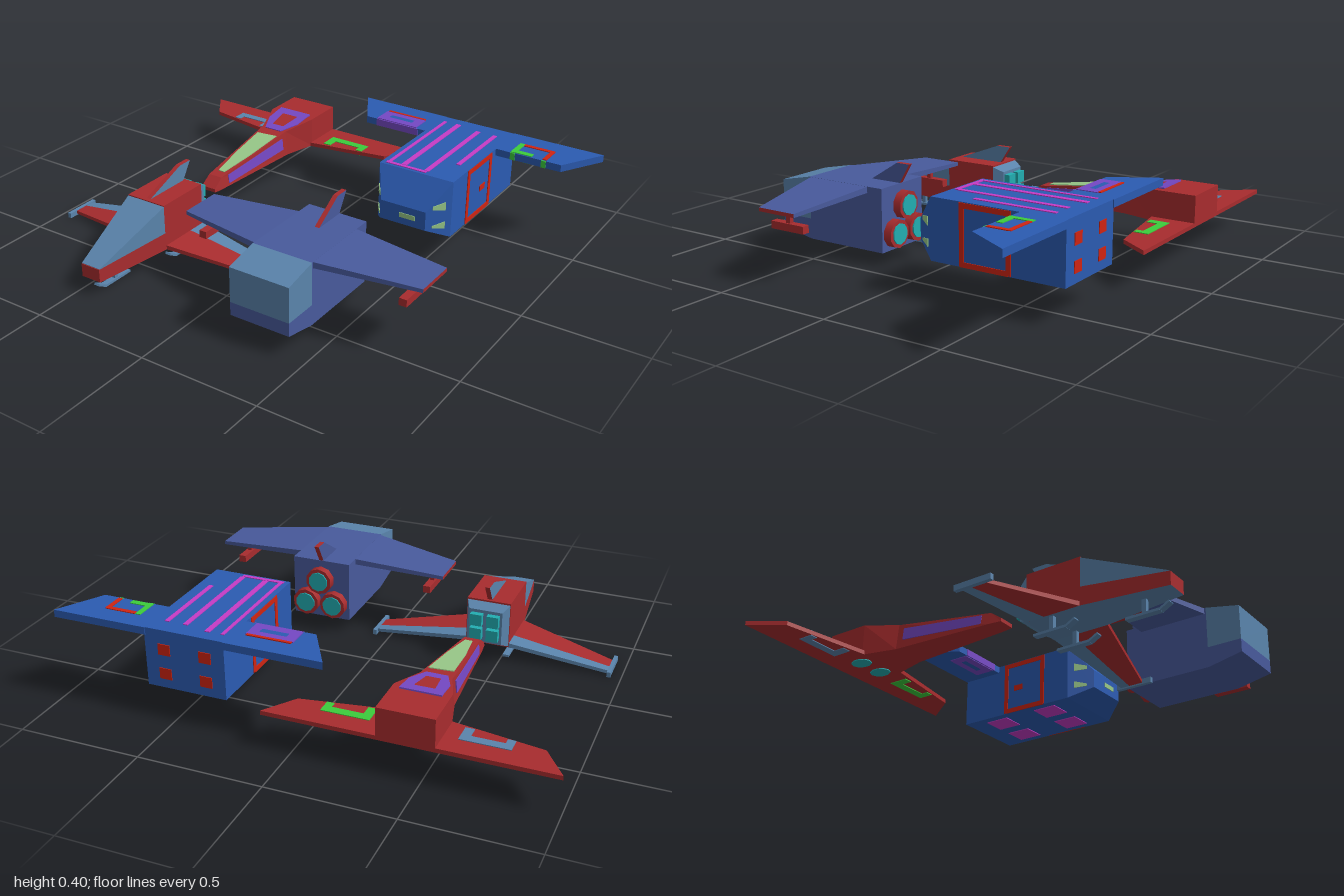
import * as THREE from 'three';

const M = {};
for (const [name, hex] of Object.entries({
  crimson: 0xa82c2e, steelBlue: 0x5a84ac, royalBlue: 0x2b5bb2, slateBlue: 0x485a9c, cyan: 0x22aeb2,
  violet: 0x7548c4, magenta: 0xc63cc6, green: 0x3ccc3c, paleGreen: 0x98c888, scarlet: 0xd02412,
})) {
  M[name] = new THREE.MeshStandardMaterial({ color: hex });
  M[name].name = name;
}

function add(parent, name, geo, mat, x = 0, y = 0, z = 0) {
  const m = new THREE.Mesh(geo, mat);
  m.name = name;
  m.position.set(x, y, z);
  parent.add(m);
  return m;
}
const box = (p, name, mat, size, pos) => add(p, name, new THREE.BoxGeometry(...size), mat, ...pos);

// Flat-faced solid through matching rings; mats: one material, or one per side then start and end cap
function loft(parent, name, rings, mats) {
  const n = rings[0].length, list = Array.isArray(mats) ? mats : Array(n + 2).fill(mats);
  const faces = [];
  for (let i = 0; i + 1 < rings.length; i++)
    for (let j = 0; j < n; j++) {
      const k = (j + 1) % n, a = rings[i], b = rings[i + 1];
      faces.push([list[j], [a[j], a[k], b[k], b[j]]]);
    }
  faces.push([list[n], [...rings[0]].reverse()], [list[n + 1], rings[rings.length - 1]]);
  // make the faces point outwards
  const v = (p) => new THREE.Vector3(...p);
  let volume = 0;
  for (const [, f] of faces)
    for (let t = 1; t + 1 < f.length; t++) volume += v(f[0]).dot(v(f[t]).cross(v(f[t + 1])));
  const used = [...new Set(list)], pos = [], geo = new THREE.BufferGeometry();
  for (const mat of used) {
    const start = pos.length / 3;
    for (const [fm, f] of faces) {
      if (fm !== mat) continue;
      const q = volume < 0 ? [...f].reverse() : f;
      for (let t = 1; t + 1 < q.length; t++) pos.push(...q[0], ...q[t], ...q[t + 1]);
    }
    geo.addGroup(start, pos.length / 3 - start, used.indexOf(mat));
  }
  geo.setAttribute('position', new THREE.Float32BufferAttribute(pos, 3));
  geo.computeVertexNormals();
  return add(parent, name, geo, used);
}
// Hull section: bottom half width, bottom, top half width, top
const sec = (z, hb, yb, ht, yt) => [[-hb, yb, z], [hb, yb, z], [ht, yt, z], [-ht, yt, z]];

// Thin painted patch lying on a four-cornered face
function patch(parent, name, quad, mat) {
  const p = quad.map((c) => new THREE.Vector3(...c));
  const n = p[1].clone().sub(p[0]).cross(p[2].clone().sub(p[0])).normalize().multiplyScalar(0.003);
  loft(parent, name, [p.map((c) => c.clone().add(n).toArray()), p.map((c) => c.clone().sub(n).toArray())], mat);
}
// Horizontal plate from an [x, z] outline
function slab(parent, name, pts, y0, y1, mat, hole) {
  const toV = (a) => a.map(([x, z]) => new THREE.Vector2(x, -z));
  const shape = new THREE.Shape(toV(pts));
  if (hole) shape.holes.push(new THREE.Path(toV(hole)));
  const geo = new THREE.ExtrudeGeometry(shape, { depth: y1 - y0, bevelEnabled: false });
  geo.rotateX(-Math.PI / 2);
  return add(parent, name, geo, mat, 0, y0, 0);
}
// Tail fin from a [z, y] outline, with coloured sides and crimson edges
function fin(parent, pts, side) {
  loft(parent, 'tailFin', [-0.01, 0.01].map((x) => pts.map(([z, y]) => [x, y, z])),
    [...pts.map(() => M.crimson), side, side]);
}
function ship(root, name, x) {
  const g = new THREE.Group();
  g.name = name;
  g.position.x = x;
  root.add(g);
  return g;
}

function wedgeGlider(root) {
  const g = ship(root, 'redGlider', -0.44);
  loft(g, 'hull', [sec(-0.775, 0.11, 0.14, 0.11, 0.27), sec(-0.595, 0.11, 0.14, 0.11, 0.27),
    sec(-0.45, 0.073, 0.14, 0.062, 0.25), sec(-0.01, 0.042, 0.14, 0.033, 0.19),
    sec(0.04, 0.036, 0.14, 0.034, 0.155)], M.crimson);
  for (const s of [-1, 1]) {
    slab(g, 'wing', [[s * 0.1, -0.775], [s * 0.555, -0.775], [s * 0.465, -0.645], [s * 0.1, -0.585]], 0.14, 0.157, M.crimson);
    // hooked wing markings above and below
    const c = s < 0 ? M.steelBlue : M.green;
    for (const y of [0.157, 0.14]) {
      box(g, 'wingMarkBar', c, [0.19, 0.006, 0.035], [s * 0.26, y, -0.675]);
      box(g, 'wingMarkInner', c, [0.035, 0.006, 0.06], [s * 0.183, y, -0.64]);
      box(g, 'wingMarkOuter', c, [0.03, 0.006, 0.04], [s * 0.34, y, -0.65]);
    }
    patch(g, 'noseStripe', [[s * 0.041, 0.15, -0.05], [s * 0.037, 0.188, -0.05],
      [s * 0.064, 0.225, -0.42], [s * 0.069, 0.175, -0.42]], M.violet);
    const spot = add(g, 'bellySpot', new THREE.CylinderGeometry(0.035, 0.035, 0.006, 10), M.cyan, s * 0.055, 0.139, -0.65);
    spot.scale.z = 1.3;
  }
  // markings on the sloping spine
  const spine = new THREE.Group();
  spine.name = 'spineMarkings';
  spine.position.set(0, 0.19, -0.01);
  spine.rotation.x = Math.atan2(0.08, 0.59);
  g.add(spine);
  slab(spine, 'canopyRing', [[-0.08, -0.62], [0.08, -0.62], [0.078, -0.52], [0.042, -0.435], [-0.042, -0.435], [-0.078, -0.52]],
    -0.002, 0.004, M.violet, [[-0.04, -0.575], [0.04, -0.575], [0.028, -0.475], [-0.028, -0.475]]);
  slab(spine, 'noseFlash', [[-0.046, -0.38], [0.05, -0.39], [0.038, -0.2], [0.018, -0.04], [-0.012, -0.04], [-0.034, -0.2]],
    -0.002, 0.004, M.paleGreen);
}

function boxShuttle(root) {
  const g = ship(root, 'blueShuttle', 0.44);
  loft(g, 'hull', [sec(-0.73, 0.165, 0.14, 0.165, 0.38), sec(-0.17, 0.165, 0.14, 0.165, 0.38),
    sec(-0.075, 0.1, 0.19, 0.1, 0.27)], M.royalBlue);
  for (const s of [-1, 1]) {
    slab(g, 'wing', [[s * 0.16, -0.733], [s * 0.557, -0.733], [s * 0.45, -0.547], [s * 0.16, -0.547]], 0.35, 0.38, M.royalBlue);
    // door frame and handle
    for (const z of [-0.305, -0.502]) box(g, 'doorPost', M.scarlet, [0.006, 0.235, 0.02], [s * 0.165, 0.26, z]);
    for (const y of [0.15, 0.367]) box(g, 'doorRail', M.scarlet, [0.006, 0.02, 0.2], [s * 0.165, y, -0.4]);
    box(g, 'doorHandle', M.scarlet, [0.006, 0.025, 0.045], [s * 0.165, 0.253, -0.435]);
    // cheek marks
    for (const [y0, y1] of [[0.185, 0.215], [0.265, 0.3]])
      patch(g, 'cheekMark', [[s * 0.149, y0, -0.146], [s * 0.117, y0 + 0.01, -0.1],
        [s * 0.117, y1 - 0.01, -0.1], [s * 0.149, y1, -0.146]], M.paleGreen);
    // red spots on the stern and patches on the belly
    for (const y of [0.2, 0.3]) box(g, 'sternSpot', M.scarlet, [0.05, 0.045, 0.006], [s * 0.085, y, -0.73]);
    for (const z of [-0.58, -0.32]) box(g, 'bellyPatch', M.magenta, [0.1, 0.006, 0.11], [s * 0.08, 0.14, z]);
  }
  box(g, 'frontMark', M.paleGreen, [0.07, 0.02, 0.006], [0.02, 0.23, -0.075]);
  // stripes along the roof
  for (const [x, z0, z1, w] of [[-0.135, -0.68, -0.19, 0.014], [-0.072, -0.68, -0.2, 0.022], [0.03, -0.66, -0.2, 0.02], [0.108, -0.66, -0.32, 0.018]])
    box(g, 'roofStripe', M.magenta, [w, 0.006, z1 - z0], [x, 0.38, (z0 + z1) / 2]);
  box(g, 'roofCrossStripe', M.magenta, [0.18, 0.006, 0.016], [-0.055, 0.38, -0.19]);
  // wing markings
  for (const y of [0.38, 0.35]) {
    slab(g, 'violetFrame', [[-0.4, -0.64], [-0.21, -0.64], [-0.21, -0.55], [-0.4, -0.55]], y - 0.003, y + 0.003, M.violet,
      [[-0.36, -0.61], [-0.25, -0.61], [-0.25, -0.585], [-0.36, -0.585]]);
    box(g, 'greenPost', M.green, [0.022, 0.006, 0.1], [0.24, y, -0.6]);
    box(g, 'greenFoot', M.green, [0.08, 0.006, 0.025], [0.28, y, -0.565]);
    box(g, 'redBar', M.scarlet, [0.13, 0.006, 0.018], [0.316, y, -0.642]);
    box(g, 'redPost', M.scarlet, [0.018, 0.006, 0.09], [0.375, y, -0.6]);
  }
  box(g, 'redEdgeBar', M.scarlet, [0.18, 0.006, 0.012], [-0.305, 0.381, -0.645]);
  box(g, 'violetEdge', M.violet, [0.2, 0.03, 0.006], [-0.3, 0.365, -0.547]);
  for (const x of [0.24, 0.375]) box(g, 'greenEdge', M.green, [0.02, 0.03, 0.006], [x, 0.365, -0.547]);
}

function heavyFighter(root) {
  const g = ship(root, 'slateFighter', 0.305);
  const h = 0.128;
  loft(g, 'hull', [sec(0.195, h, 0.06, h, 0.32), sec(0.565, h, 0.06, h, 0.32)], M.slateBlue);
  loft(g, 'chin', [sec(0.565, h, 0.06, h, 0.145), sec(0.71, h, 0.09, h, 0.145)], M.slateBlue);
  loft(g, 'cockpit', [sec(0.565, h, 0.145, h, 0.32), sec(0.71, h, 0.145, h, 0.29)], M.steelBlue);
  for (const s of [-1, 1]) {
    const ring = (x, y0, y1, z0, z1) => [[s * x, y0, z0], [s * x, y0, z1], [s * x, y1, z1], [s * x, y1, z0]];
    loft(g, 'wing', [ring(0.12, 0.295, 0.32, 0.265, 0.56), ring(0.517, 0.278, 0.293, 0.29, 0.465)],
      [...Array(5).fill(M.slateBlue), M.crimson]);
    box(g, 'gunPost', M.crimson, [0.018, 0.06, 0.02], [s * 0.44, 0.253, 0.385]);
    box(g, 'gunPod', M.crimson, [0.032, 0.03, 0.16], [s * 0.44, 0.213, 0.385]);
  }
  fin(g, [[0.345, 0.315], [0.21, 0.4], [0.15, 0.4], [0.2, 0.315]], M.slateBlue);
  // three engines
  for (const [x, y] of [[0, 0.235], [-0.062, 0.13], [0.062, 0.13]]) {
    const ring = add(g, 'engine', new THREE.CylinderGeometry(0.058, 0.058, 0.035, 10), M.crimson, x, y, 0.178);
    const glow = add(g, 'engineGlow', new THREE.CylinderGeometry(0.043, 0.043, 0.008, 10), M.cyan, x, y, 0.159);
    ring.rotation.x = glow.rotation.x = Math.PI / 2;
  }
}

function lightFighter(root) {
  const g = ship(root, 'redFighter', -0.442);
  const R = M.crimson, S = M.steelBlue;
  loft(g, 'hull', [sec(0.2, 0.092, 0.065, 0.092, 0.262), sec(0.437, 0.092, 0.065, 0.092, 0.262)], [S, R, R, R, R, R]);
  loft(g, 'nose', [sec(0.437, 0.092, 0.065, 0.092, 0.14), sec(0.775, 0.045, 0.065, 0.045, 0.12)], [S, R, R, R, R, R]);
  loft(g, 'cockpit', [sec(0.437, 0.092, 0.14, 0.092, 0.258), sec(0.772, 0.045, 0.118, 0.045, 0.122)], S);
  loft(g, 'engineBlock', [sec(0.158, 0.07, 0.09, 0.07, 0.235), sec(0.2, 0.09, 0.07, 0.09, 0.255)], S);
  for (const s of [-1, 1]) {
    const ring = (x, y0, y1, z0, z1) => [[s * x, y0, z0], [s * x, y0, z1], [s * x, y1, z1], [s * x, y1, z0]];
    loft(g, 'wingFront', [ring(0.085, 0.066, 0.084, 0.28, 0.435), ring(0.505, 0.008, 0.022, 0.272, 0.33)], R);
    loft(g, 'wingFlap', [ring(0.085, 0.066, 0.084, 0.2, 0.28), ring(0.505, 0.008, 0.022, 0.235, 0.272)], S);
    box(g, 'wingTipRail', S, [0.016, 0.022, 0.155], [s * 0.508, 0.014, 0.292]);
    for (const y of [0.135, 0.197]) box(g, 'thruster', M.cyan, [0.05, 0.05, 0.03], [s * 0.035, y, 0.148]);
  }
  fin(g, [[0.43, 0.258], [0.23, 0.335], [0.165, 0.335], [0.215, 0.258]], S);
  // landing skids with upturned toes
  for (const [x, z] of [[0, 0.645], [-0.074, 0.305], [0.074, 0.305]]) {
    box(g, 'skidLeg', S, [0.016, 0.06, 0.018], [x, 0.038, z]);
    box(g, 'skid', S, [0.026, 0.01, 0.14], [x, 0.007, z - 0.005]);
    const toe = box(g, 'skidToe', S, [0.026, 0.009, 0.045], [x, 0.017, z + 0.083]);
    toe.rotation.x = -0.5;
  }
}

export function createModel() {
  const root = new THREE.Group();
  root.name = 'shipFleet';
  wedgeGlider(root);
  boxShuttle(root);
  heavyFighter(root);
  lightFighter(root);
  return root;
}
